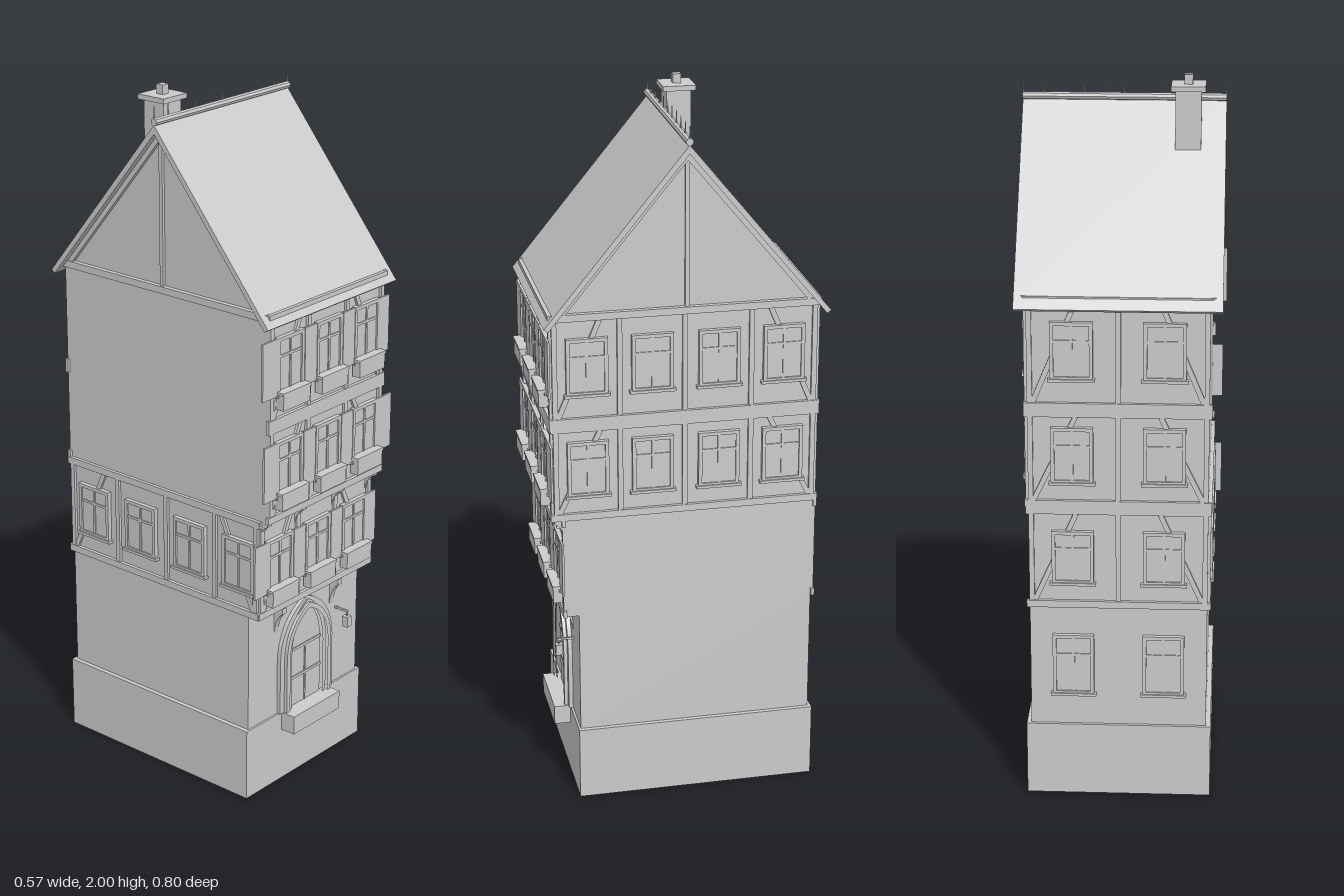
import * as THREE from 'three';

const mat = new THREE.MeshStandardMaterial({ color: 0xcccccc, flatShading: true });
const thinMat = new THREE.MeshStandardMaterial({ color: 0xcccccc, side: THREE.DoubleSide, flatShading: true });

function add(parent, name, geo, x = 0, y = 0, z = 0, material = mat) {
  const m = new THREE.Mesh(geo, material);
  m.name = name;
  m.position.set(x, y, z);
  parent.add(m);
  return m;
}
const box = (parent, name, w, h, d, x, y, z) =>
  add(parent, name, new THREE.BoxGeometry(w, h, d), x, y, z);

function group(parent, name) {
  const g = new THREE.Group();
  g.name = name;
  parent.add(g);
  return g;
}

// A wall face: local x runs along the wall, local z points outward
function face(parent, name, x, z, turn) {
  const g = group(parent, name);
  g.position.set(x, 0, z);
  g.rotation.y = turn;
  return g;
}

// Slanted or straight timber between two points on a wall face
function beam(parent, name, x0, y0, x1, y1, t = 0.016, d = 0.008) {
  const m = box(parent, name, Math.hypot(x1 - x0, y1 - y0), t, d, (x0 + x1) / 2, (y0 + y1) / 2, d / 2);
  m.rotation.z = Math.atan2(y1 - y0, x1 - x0);
}

function windowUnit(parent, x, y0, y1, w = 0.115) {
  const g = group(parent, 'window');
  g.position.set(x, (y0 + y1) / 2, 0);
  const h = y1 - y0, t = 0.01;
  box(g, 'windowPane', w - t, h - t, 0.008, 0, 0, 0.004);
  for (const s of [-1, 1]) {
    box(g, 'windowJamb', t, h, 0.013, s * (w - t) / 2, 0, 0.0065);
    box(g, 'windowRail', w, t, 0.013, 0, s * (h - t) / 2, 0.0065);
  }
  box(g, 'windowMullion', 0.007, h, 0.011, 0, 0, 0.0055);
  box(g, 'windowTransom', w, 0.007, 0.011, 0, h * 0.17, 0.0055);
  box(g, 'windowSill', w + 0.012, 0.008, 0.017, 0, -h / 2, 0.0085);
}

// Timber framing: rails, posts and the two corner braces of one storey
function framing(parent, x0, x1, y0, y1, posts) {
  const w = x1 - x0, c = (x0 + x1) / 2;
  box(parent, 'sillBeam', w + 0.016, 0.02, 0.01, c, y0 + 0.01, 0.005);
  box(parent, 'topBeam', w + 0.016, 0.02, 0.01, c, y1 - 0.01, 0.005);
  for (const x of [x0 + 0.007, x1 - 0.007, ...posts]) beam(parent, 'post', x, y0, x, y1, 0.014);
  beam(parent, 'brace', x0 + 0.015, y0 + 0.02, x0 + 0.13, y1 - 0.02, 0.014, 0.007);
  beam(parent, 'brace', x1 - 0.015, y0 + 0.02, x1 - 0.13, y1 - 0.02, 0.014, 0.007);
}

// Pointed arch outline, springing at height s
function archPoints(path, w, s, top) {
  path.moveTo(-w, 0);
  path.lineTo(-w, s);
  path.quadraticCurveTo(-w * 0.95, s + (top - s) * 0.72, 0, top);
  path.quadraticCurveTo(w * 0.95, s + (top - s) * 0.72, w, s);
  path.lineTo(w, 0);
  path.closePath();
  return path;
}

export function createModel() {
  const model = new THREE.Group();
  model.name = 'townHouse';
  const W = 0.245, BACK = -0.368;
  const storeys = [
    { y0: 0.573, y1: 0.87, front: 0.335, win: [0.645, 0.8], box: 0.633, sides: [-1], out: [0.275, 0.262] },
    { y0: 0.87, y1: 1.15, front: 0.365, win: [0.94, 1.1], box: 0.932, sides: [1], out: [0.275, 0.283] },
    { y0: 1.15, y1: 1.467, front: 0.365, win: [1.235, 1.397], box: 1.222, sides: [1], out: [0.284, 0.262] },
  ];

  // Plinth, open underneath
  const plinth = new THREE.BoxGeometry(0.516, 0.215, 0.683);
  const idx = Array.from(plinth.index.array);
  idx.splice(18, 6);
  plinth.setIndex(idx);
  add(model, 'plinth', plinth, 0, 0.1075, -0.0355, thinMat);

  // Storey bodies
  const body = (name, y0, y1, front) =>
    box(model, name, 2 * W, y1 - y0, front - BACK, 0, (y0 + y1) / 2, (front + BACK) / 2);
  body('groundStorey', 0.215, 0.573, 0.3);
  for (const s of storeys) body('upperStorey', s.y0, s.y1, s.front);

  for (const s of storeys) {
    // Front: three windows with shutters and flower boxes
    const f = face(model, 'frontWall', 0, s.front, 0);
    framing(f, -W, W, s.y0, s.y1, [-0.0825, 0.0825]);
    const h = s.win[1] - s.win[0], yc = (s.win[0] + s.win[1]) / 2;
    for (const x of [-0.165, 0, 0.165]) {
      windowUnit(f, x, s.win[0], s.win[1], 0.11);
      const b = group(f, 'flowerBox');
      b.position.set(x, s.box, 0.02);
      box(b, 'trough', 0.112, 0.05, 0.026, 0, 0, 0);
      box(b, 'troughRim', 0.118, 0.008, 0.03, 0, 0.022, 0);
    }
    for (const x of [-0.0825, 0.0825]) box(f, 'shutter', 0.05, h, 0.006, x, yc, 0.01);
    box(f, 'shutter', s.out[0] - 0.22, h, 0.006, -(s.out[0] + 0.22) / 2, yc, 0.01);
    box(f, 'shutter', s.out[1] - 0.22, h, 0.006, (s.out[1] + 0.22) / 2, yc, 0.01);

    // Back: two windows
    const r = face(model, 'backWall', 0, BACK, Math.PI);
    framing(r, -W, W, s.y0, s.y1, [0]);
    for (const x of [-0.125, 0.125]) windowUnit(r, x, ...s.win);

    // Sides: four windows where the wall is exposed
    for (const side of s.sides) {
      const g = face(model, 'sideWall', side * W, 0, side * Math.PI / 2);
      const ends = [-side * s.front, -side * BACK].sort((a, b) => a - b);
      framing(g, ends[0], ends[1], s.y0, s.y1, [0.18, 0, -0.185].map(z => -side * z));
      for (const z of [0.27, 0.09, -0.095, -0.275]) windowUnit(g, -side * z, ...s.win);
    }
  }
  const groundBack = face(model, 'groundBackWall', 0, BACK, Math.PI);
  for (const x of [-0.125, 0.125]) windowUnit(groundBack, x, 0.31, 0.49);

  // Brackets under the overhanging storeys
  function bracket(x, top, z, size, h) {
    const s = new THREE.Shape();
    s.moveTo(0, 0);
    s.lineTo(size, 0);
    s.lineTo(size, -h * 0.2);
    s.quadraticCurveTo(size * 0.2, -h * 0.35, 0, -h);
    s.closePath();
    const geo = new THREE.ExtrudeGeometry(s, { depth: 0.018, bevelEnabled: false, curveSegments: 5 });
    add(model, 'bracket', geo, x - 0.009, top, z).rotation.y = -Math.PI / 2;
    model.children[model.children.length - 1].position.x += 0.018;
  }
  for (const x of [-0.125, 0.125]) bracket(x, 0.56, 0.3, 0.03, 0.085);
  for (const x of [-0.235, -0.0825, 0.0825, 0.235]) bracket(x, 0.87, 0.335, 0.03, 0.06);

  // Doorway: nested pointed mouldings around a panelled door
  const door = group(model, 'doorway');
  door.position.set(0, 0.215, 0.3);
  [[0.118, 0.335, 0.1, 0.316, 0.012], [0.1, 0.316, 0.085, 0.3, 0.022], [0.085, 0.325, 0.07, 0.31, 0.015]]
    .forEach(([w, top, iw, iTop, d]) => {
      const s = archPoints(new THREE.Shape(), w, 0.17, top);
      s.holes.push(archPoints(new THREE.Path(), iw, 0.17, iTop));
      add(door, 'archMoulding', new THREE.ExtrudeGeometry(s, { depth: d, bevelEnabled: false, curveSegments: 10 }));
    });
  add(door, 'doorLeaf', new THREE.ExtrudeGeometry(archPoints(new THREE.Shape(), 0.071, 0.17, 0.311),
    { depth: 0.004, bevelEnabled: false, curveSegments: 10 }));
  box(door, 'doorSeam', 0.005, 0.17, 0.004, 0, 0.085, 0.005);
  for (const y of [0.09, 0.18]) box(door, 'doorRail', 0.14, 0.008, 0.005, 0, y, 0.005);
  box(model, 'doorStep', 0.208, 0.056, 0.07, 0, 0.187, 0.318);

  // Hanging lantern
  box(model, 'lanternArm', 0.006, 0.006, 0.05, 0.145, 0.455, 0.322);
  box(model, 'lanternHook', 0.004, 0.02, 0.004, 0.145, 0.447, 0.343);
  box(model, 'lantern', 0.02, 0.032, 0.02, 0.145, 0.424, 0.343);

  // Roof: folded slab extruded along x
  const ZR = -0.005, EAVE = 0.394, PEAK = 1.917, FOOT = 1.437;
  const alongX = (shape, length) => {
    const g = new THREE.ExtrudeGeometry(shape, { depth: length, bevelEnabled: false });
    return g.translate(0, 0, -length / 2).rotateY(-Math.PI / 2);
  };
  const roof = new THREE.Shape([[0, PEAK], [-EAVE, FOOT], [-EAVE + 0.012, FOOT - 0.008], [0, PEAK - 0.024],
    [EAVE - 0.012, FOOT - 0.008], [EAVE, FOOT]].map(p => new THREE.Vector2(...p)));
  add(model, 'roof', alongX(roof, 0.554), 0, 0, ZR);

  // Gable walls with post, tie beam and rafters
  const gable = new THREE.Shape([[-0.363, 1.45], [0.363, 1.45], [0, PEAK - 0.024]].map(p => new THREE.Vector2(...p)));
  add(model, 'gable', alongX(gable, 2 * W), 0, 0, ZR);
  for (const side of [-1, 1]) {
    const g = face(model, 'gableTimbers', side * W, ZR, side * Math.PI / 2);
    beam(g, 'kingPost', 0, 1.46, 0, 1.89, 0.012);
    box(g, 'tieBeam', 0.74, 0.02, 0.014, 0, 1.458, 0.007);
    for (const s of [-1, 1]) beam(g, 'rafter', s * 0.355, 1.453, 0, 1.884, 0.016, 0.012);
  }

  // Ridge cap with spikes
  const ridge = new THREE.CylinderGeometry(0.0105, 0.0105, 0.554, 8);
  add(model, 'ridgeCap', ridge, 0, 1.925, ZR).rotation.z = Math.PI / 2;
  for (let i = 0; i <= 10; i++)
    add(model, 'ridgeSpike', new THREE.CylinderGeometry(0.001, 0.002, 0.035, 5), -0.275 + i * 0.055, 1.95, ZR);

  // Chimney
  const chimney = group(model, 'chimney');
  chimney.position.set(-0.175, 0, -0.066);
  box(chimney, 'chimneyStack', 0.07, 0.22, 0.07, 0, 1.85, 0);
  box(chimney, 'chimneyCap', 0.093, 0.014, 0.093, 0, 1.967, 0);
  box(chimney, 'chimneyPot', 0.023, 0.028, 0.023, 0, 1.986, 0);

  return model;
}
